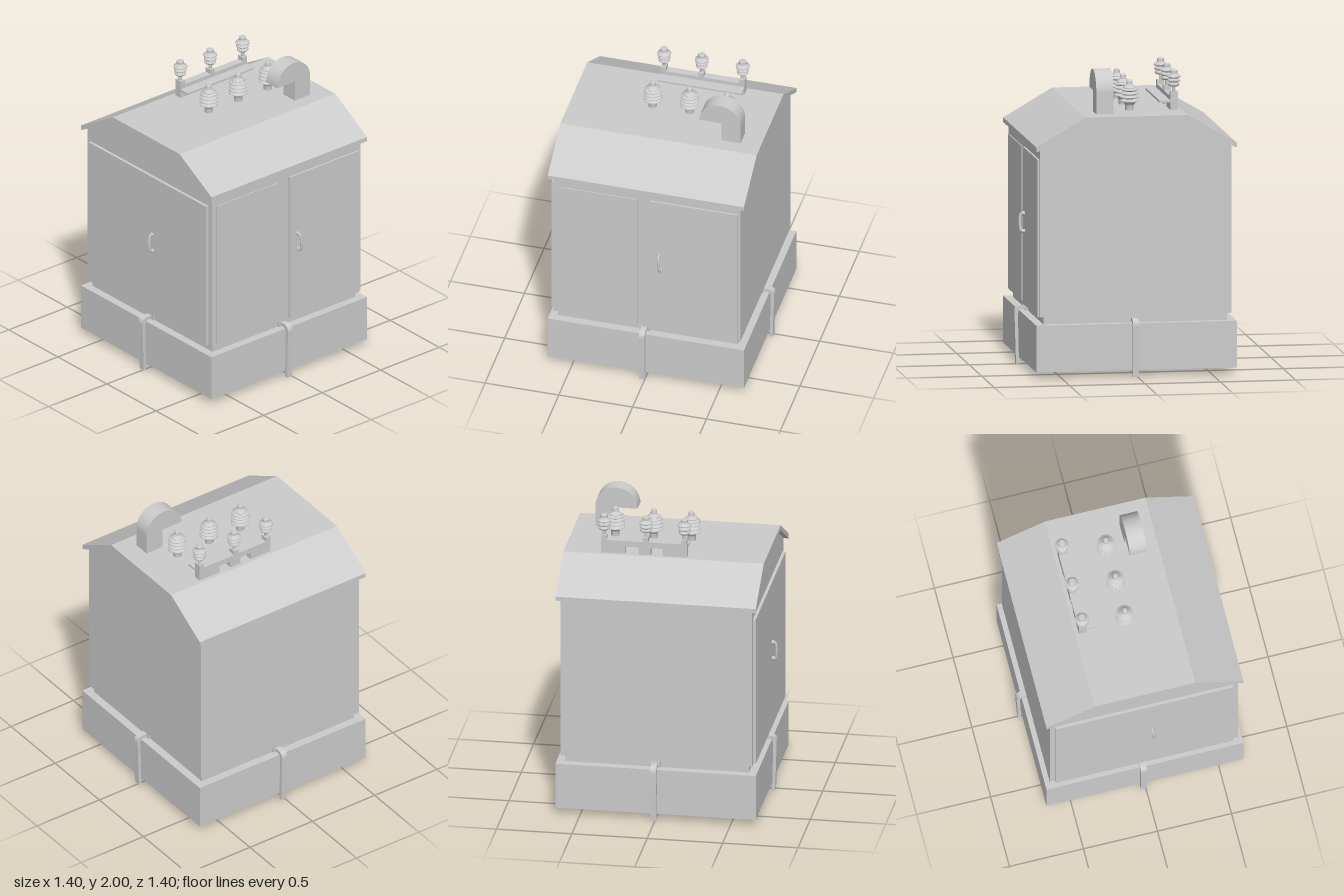
import * as THREE from 'three';
import { toCreasedNormals } from 'three/addons/utils/BufferGeometryUtils.js';

const material = new THREE.MeshStandardMaterial({ color: 0xcccccc, side: THREE.DoubleSide });

function add(parent, name, geometry, x = 0, y = 0, z = 0) {
  const mesh = new THREE.Mesh(geometry, material);
  mesh.name = name;
  mesh.position.set(x, y, z);
  parent.add(mesh);
  return mesh;
}

// Box given by its lower and upper limits on each axis
function box(parent, name, [x0, x1], [y0, y1], [z0, z1]) {
  return add(parent, name, new THREE.BoxGeometry(x1 - x0, y1 - y0, z1 - z0),
    (x0 + x1) / 2, (y0 + y1) / 2, (z0 + z1) / 2);
}

// Extrusion centred on its depth
function slab(shape, depth) {
  const g = new THREE.ExtrudeGeometry(shape, { depth, bevelEnabled: false, curveSegments: 16 });
  g.translate(0, 0, -depth / 2);
  return toCreasedNormals(g, 0.5);
}

const polygon = (pts) => new THREE.Shape(pts.map(([x, y]) => new THREE.Vector2(x, y)));

function lathe(pts) {
  const g = new THREE.LatheGeometry(pts.map(([r, y]) => new THREE.Vector2(r, y)), 24);
  return toCreasedNormals(g, 0.6);
}

// Hooked strap, running out from the plinth (+x) and down past the base
function strapGeometry() {
  const s = new THREE.Shape();
  s.moveTo(0.6, 0.383);
  s.lineTo(0.66, 0.383);
  s.quadraticCurveTo(0.702, 0.38, 0.7, 0.33);
  s.lineTo(0.69, 0);
  s.lineTo(0.67, 0);
  s.lineTo(0.677, 0.32);
  s.quadraticCurveTo(0.678, 0.358, 0.65, 0.36);
  s.lineTo(0.6, 0.36);
  return slab(s, 0.04);
}

// Bowed pull handle standing out along +z
function makeHandle() {
  const group = new THREE.Group();
  group.name = 'doorHandle';
  const path = new THREE.CatmullRomCurve3([
    [-0.004, 0.058, 0], [-0.004, 0.056, 0.03], [-0.002, 0.035, 0.038],
    [0.002, -0.035, 0.038], [0.004, -0.056, 0.03], [0.004, -0.058, 0],
  ].map((p) => new THREE.Vector3(...p)));
  add(group, 'handleGrip', new THREE.TubeGeometry(path, 28, 0.009, 8));
  for (const s of [-1, 1]) {
    const foot = add(group, 'handleFoot', new THREE.CylinderGeometry(0.014, 0.014, 0.03, 12), -0.004 * s, 0.058 * s, 0.012);
    foot.rotation.x = Math.PI / 2;
  }
  return group;
}

export function createModel() {
  const model = new THREE.Group();
  model.name = 'transformerKiosk';

  // Base and plinth
  box(model, 'base', [-0.665, 0.665], [0.04, 0.35], [-0.665, 0.665]);
  box(model, 'plinth', [-0.61, 0.61], [0.35, 0.4], [-0.61, 0.61]);

  // Four straps, one to a side, each slightly off centre
  const strap = strapGeometry();
  [[0, 0.01], [1, 0.01], [2, -0.015], [3, -0.02]].forEach(([turn, shift]) => {
    const holder = new THREE.Group();
    holder.name = 'strap';
    holder.rotation.y = turn * Math.PI / 2;
    if (turn % 2) holder.position.x = shift;
    else holder.position.z = shift;
    add(holder, 'strapBar', strap);
    box(holder, 'strapClip', [0.6, 0.625], [0.352, 0.392], [-0.036, 0.036]);
    model.add(holder);
  });

  // Cabinet with gabled ends
  const body = slab(polygon([[-0.635, 0.4], [0.635, 0.4], [0.635, 1.515], [0.33, 1.69], [-0.33, 1.69], [-0.635, 1.515]]), 1.27);
  add(model, 'cabinet', body).rotation.y = Math.PI / 2;

  // Folded roof
  const roof = slab(polygon([
    [-0.665, 1.5], [-0.665, 1.53], [-0.34, 1.72], [0.34, 1.72], [0.665, 1.53], [0.665, 1.5],
    [0.655, 1.5], [0.33, 1.688], [-0.33, 1.688], [-0.655, 1.5],
  ]), 1.33);
  add(model, 'roof', roof).rotation.y = Math.PI / 2;

  // Doors
  box(model, 'frontRightDoor', [-0.6, -0.065], [0.41, 1.43], [0.62, 0.642]);
  box(model, 'frontLeftDoor', [0.02, 0.615], [0.4, 1.44], [0.62, 0.648]);
  box(model, 'sideDoor', [-0.655, -0.62], [0.41, 1.43], [-0.6, 0.6]);

  const frontHandle = makeHandle();
  frontHandle.position.set(0.09, 0.95, 0.64);
  const sideHandle = makeHandle();
  sideHandle.position.set(-0.645, 0.95, 0.055);
  sideHandle.rotation.y = -Math.PI / 2;
  model.add(frontHandle, sideHandle);

  // Hooded vent: a leg with a half-round elbow
  const vent = new THREE.Shape();
  vent.moveTo(0.4, 1.71);
  vent.lineTo(0.53, 1.71);
  vent.lineTo(0.53, 1.86);
  vent.absarc(0.39, 1.86, 0.14, 0, Math.PI, false);
  vent.lineTo(0.4, 1.86);
  add(model, 'ventHood', slab(vent, 0.115), 0, 0, 0.1875);

  // Front row of large insulators: neck, four sheds, tapered tip
  const large = [[0, 0], [0.028, 0], [0.028, 0.035], [0.038, 0.05]];
  for (let i = 0; i < 4; i++) {
    const y = 0.052 + i * 0.025, r = 0.062 - Math.max(0, i - 1) * 0.002;
    large.push([0.04, y], [r, y + 0.008], [r, y + 0.013], [0.042, y + 0.022]);
  }
  large.push([0.043, 0.152], [0.022, 0.172], [0.018, 0.196], [0.011, 0.203], [0, 0.203]);
  const largeInsulator = lathe(large);
  for (const x of [-0.13, 0.12, 0.375]) add(model, 'largeInsulator', largeInsulator, x, 1.718, 0);

  // Rack: notched upright plate with three posts, and a shelf
  const plate = polygon([
    [-0.15, 1.71], [0.01, 1.71], [0.01, 1.77], [0.09, 1.77], [0.09, 1.71], [0.17, 1.71], [0.17, 1.77],
    [0.26, 1.77], [0.26, 1.71], [0.42, 1.71], [0.42, 1.81], [-0.15, 1.81],
  ]);
  add(model, 'rackPlate', slab(plate, 0.05), 0, 0, -0.29);
  box(model, 'rackShelf', [-0.15, 0.42], [1.77, 1.783], [-0.28, -0.193]);

  // Back row of small insulators on posts and pins
  const small = [[0, 0], [0.011, 0], [0.011, 0.035], [0.026, 0.037]];
  for (let i = 0; i < 3; i++) {
    const y = 0.038 + i * 0.026, r = i === 2 ? 0.046 : 0.038 + i * 0.004;
    small.push([0.03, y], [r, y + 0.008], [r, y + 0.014], [0.031, y + 0.024]);
  }
  small.push([0.03, 0.117], [0.024, 0.122], [0.024, 0.14], [0.018, 0.145], [0, 0.145]);
  const smallInsulator = lathe(small);
  for (const x of [-0.13, 0.125, 0.402]) {
    box(model, 'rackPost', [x - 0.018, x + 0.018], [1.8, 1.84], [-0.315, -0.265]);
    add(model, 'smallInsulator', smallInsulator, x, 1.838, -0.29);
  }

  return model;
}
